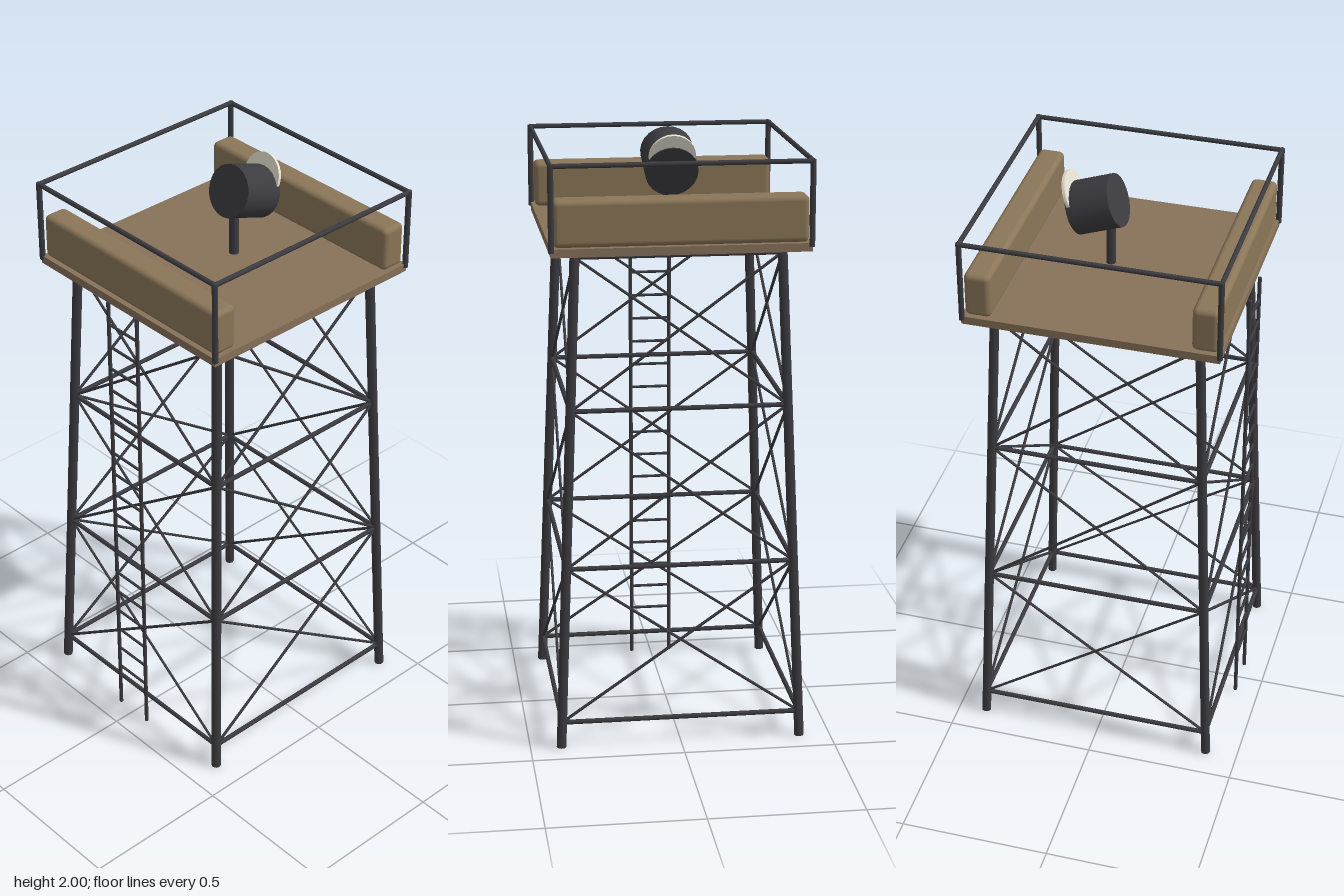
import * as THREE from 'three';
import { RoundedBoxGeometry } from 'three/addons/geometries/RoundedBoxGeometry.js';

const mat = (name, color) => Object.assign(new THREE.MeshStandardMaterial({ color }), { name });

export function createModel() {
  const metal = mat('dark metal', 0x3c3c41);
  const wood = mat('deck wood', 0x88725a);
  const cloth = mat('sandbag cloth', 0x8b7658);
  const glass = mat('lamp glass', 0xe8e4d4);

  const model = new THREE.Group();
  model.name = 'watchtower';
  const tower = new THREE.Group();
  tower.name = 'tower';
  tower.position.z = -0.007;
  model.add(tower);

  const add = (parent, name, geometry, material, x = 0, y = 0, z = 0) => {
    const mesh = new THREE.Mesh(geometry, material);
    mesh.name = name;
    mesh.position.set(x, y, z);
    parent.add(mesh);
    return mesh;
  };

  // Round bar between two points
  const up = new THREE.Vector3(0, 1, 0);
  const bar = (parent, name, a, b, radius, sides = 8) => {
    const dir = b.clone().sub(a);
    const mesh = add(parent, name, new THREE.CylinderGeometry(radius, radius, dir.length(), sides), metal);
    mesh.position.copy(a).add(b).multiplyScalar(0.5);
    mesh.quaternion.setFromUnitVectors(up, dir.normalize());
  };

  // Four sloping legs; corner(i, y) is the leg centre at height y
  const signs = [[1, 1], [-1, 1], [-1, -1], [1, -1]];
  const corner = (i, y) => {
    const r = 0.398 - 0.067 * y / 1.65;
    const [sx, sz] = signs[i % 4];
    return new THREE.Vector3(sx * r, y, sz * r);
  };
  const levels = [0.087, 0.611, 1.135, 1.632];
  for (let i = 0; i < 4; i++) {
    bar(tower, 'leg', corner(i, 0.001), corner(i, 1.65), 0.016);
    // Horizontal girts and crossed braces on each face
    levels.forEach((y, k) => {
      bar(tower, 'girt', corner(i, y), corner(i + 1, y), 0.008, 6);
      if (k === 3) return;
      bar(tower, 'brace', corner(i, y), corner(i + 1, levels[k + 1]), 0.005, 6);
      bar(tower, 'brace', corner(i + 1, y), corner(i, levels[k + 1]), 0.005, 6);
    });
  }

  // Deck and guard rail
  add(tower, 'deck', new THREE.BoxGeometry(0.826, 0.027, 0.826), wood, 0, 1.6615, 0);
  const railPoint = (i, y) => new THREE.Vector3(signs[i % 4][0] * 0.411, y, signs[i % 4][1] * 0.411);
  for (let i = 0; i < 4; i++) {
    bar(tower, 'railPost', railPoint(i, 1.663), railPoint(i, 1.94), 0.0095);
    bar(tower, 'topRail', railPoint(i, 1.935), railPoint(i + 1, 1.935), 0.008);
  }

  // Padded walls at the front and back
  for (const s of [1, -1]) {
    add(tower, 'sandbagWall', new RoundedBoxGeometry(0.81, 0.15, 0.086, 3, 0.018), cloth, 0, 1.75, s * 0.362);
  }

  // Ladder on the front
  const ladder = new THREE.Group();
  ladder.name = 'ladder';
  ladder.position.z = 0.419;
  model.add(ladder);
  for (const s of [1, -1]) {
    bar(ladder, 'ladderRail', new THREE.Vector3(s * 0.068, 0.003, 0), new THREE.Vector3(s * 0.068, 1.662, 0), 0.0065);
  }
  for (let i = 0; i < 18; i++) {
    const y = 0.17 + i * 0.083;
    bar(ladder, 'rung', new THREE.Vector3(-0.068, y, 0), new THREE.Vector3(0.068, y, 0), 0.005, 6);
  }

  // Searchlight, aimed down towards the back
  add(model, 'lampPost', new THREE.CylinderGeometry(0.016, 0.016, 0.16, 10), metal, 0, 1.763, -0.053);
  const lamp = new THREE.Group();
  lamp.name = 'searchlight';
  lamp.position.set(0, 1.891, -0.098);
  lamp.rotation.x = -0.35;
  model.add(lamp);
  add(lamp, 'lampDrum', new THREE.CylinderGeometry(0.086, 0.086, 0.147, 24).rotateX(Math.PI / 2), metal);
  add(lamp, 'lampLens', new THREE.CylinderGeometry(0.076, 0.076, 0.01, 24).rotateX(Math.PI / 2), glass, 0, 0.052, -0.063);

  return model;
}
